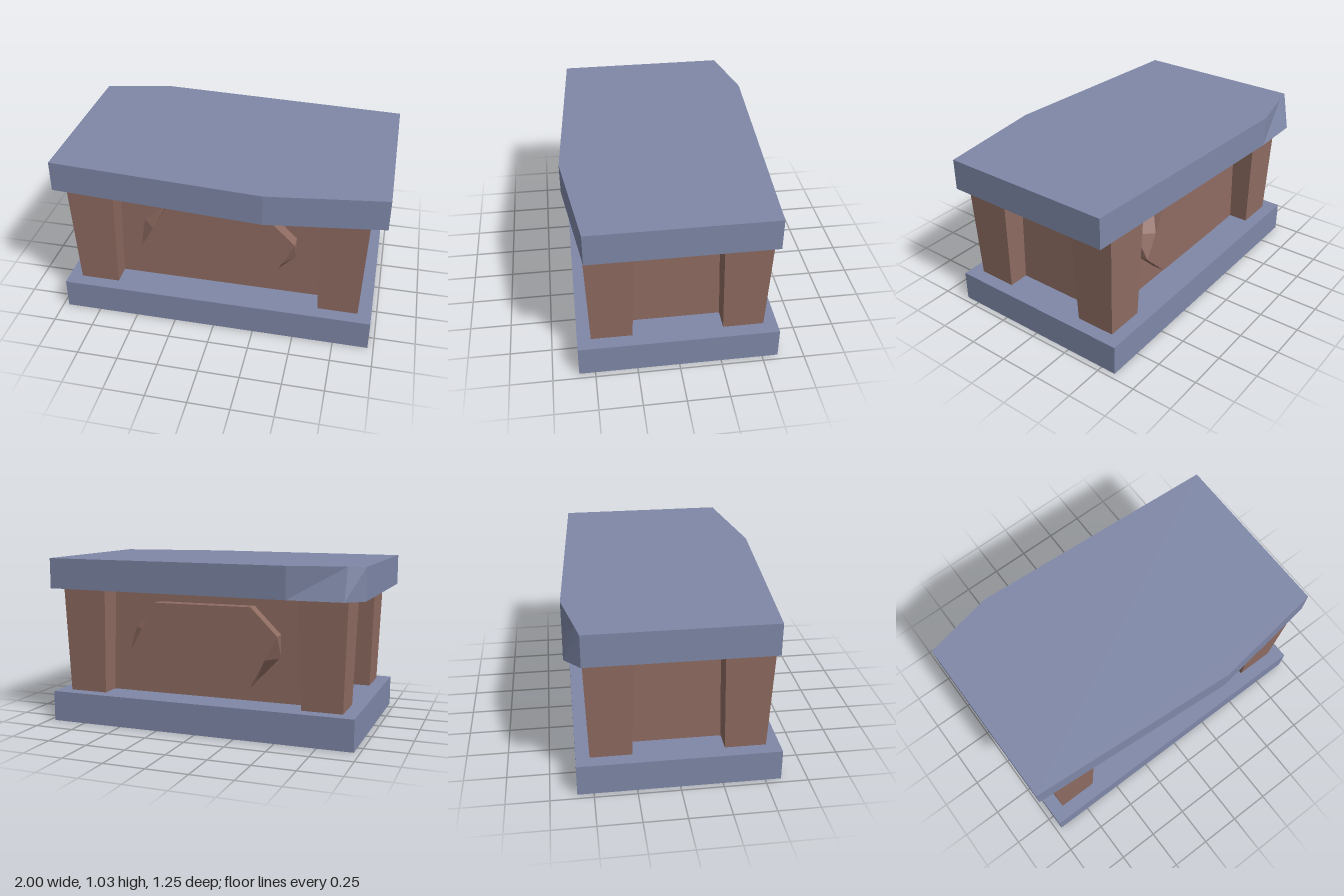
import * as THREE from 'three';

const stone = new THREE.MeshStandardMaterial({ color: 0x7f88a8 });
stone.name = 'slateStone';
const clay = new THREE.MeshStandardMaterial({ color: 0x8f6c62 });
clay.name = 'brownStone';

// Solid between two matching convex loops (counter-clockwise seen from the end side)
function loft(start, end) {
  const n = start.length, pos = [];
  const tri = (a, b, c) => pos.push(...a, ...b, ...c);
  for (let i = 0; i < n; i++) {
    const j = (i + 1) % n;
    tri(start[i], start[j], end[j]);
    tri(start[i], end[j], end[i]);
    if (i > 0 && i < n - 1) {
      tri(end[0], end[i], end[i + 1]);
      tri(start[0], start[i + 1], start[i]);
    }
  }
  const g = new THREE.BufferGeometry();
  g.setAttribute('position', new THREE.Float32BufferAttribute(pos, 3));
  g.computeVertexNormals();
  return g;
}

const flat = (pts, y) => pts.map(([x, z]) => [x, y, z]);
const upright = (pts, z) => pts.map(([x, y]) => [x, y, z]);
const square = (h) => [[-h, h], [h, h], [h, -h], [-h, -h]];

export function createModel() {
  const model = new THREE.Group();
  model.name = 'stonePedestal';
  const add = (name, geometry, material, x = 0, y = 0, z = 0) => {
    const mesh = new THREE.Mesh(geometry, material);
    mesh.name = name;
    mesh.position.set(x, y, z);
    model.add(mesh);
    return mesh;
  };

  // Base slab and recessed core
  add('baseSlab', new THREE.BoxGeometry(1.93, 0.19, 1.19), stone, 0, 0.095, 0);
  add('core', new THREE.BoxGeometry(1.51, 0.65, 0.78), clay, 0, 0.515, 0);

  // Corner pillars, widening upwards
  const pillar = loft(flat(square(0.122), 0.19), flat(square(0.143), 0.84));
  for (const x of [-0.76, 0.76])
    for (const z of [-0.392, 0.392]) add('cornerPillar', pillar, clay, x, 0, z);

  // Raised panels with two chipped corners, front and back
  const outline = [[-0.31, 0.29], [0.31, 0.29], [0.475, 0.46], [0.475, 0.605],
    [0.31, 0.77], [-0.31, 0.77], [-0.48, 0.605], [-0.48, 0.46]];
  const face = outline.map((p) => [...p]);
  face[2][0] = 0.4;
  face[6][0] = -0.4;
  const panel = loft(upright(outline, 0.38), upright(face, 0.47));
  add('frontPanel', panel, clay);
  add('backPanel', panel, clay).rotation.y = Math.PI;

  // Uneven top slab, chipped at one back corner
  const under = [[-1, 0.53], [0.3, 0.625], [1, 0.53], [1, -0.54],
    [-0.57, -0.63], [-0.9, -0.63], [-1, -0.54]];
  const upper = under.map((p) => [...p]);
  upper[5][1] = -0.561;
  add('topSlab', loft(flat(under, 0.84), flat(upper, 1.03)), stone);

  return model;
}
